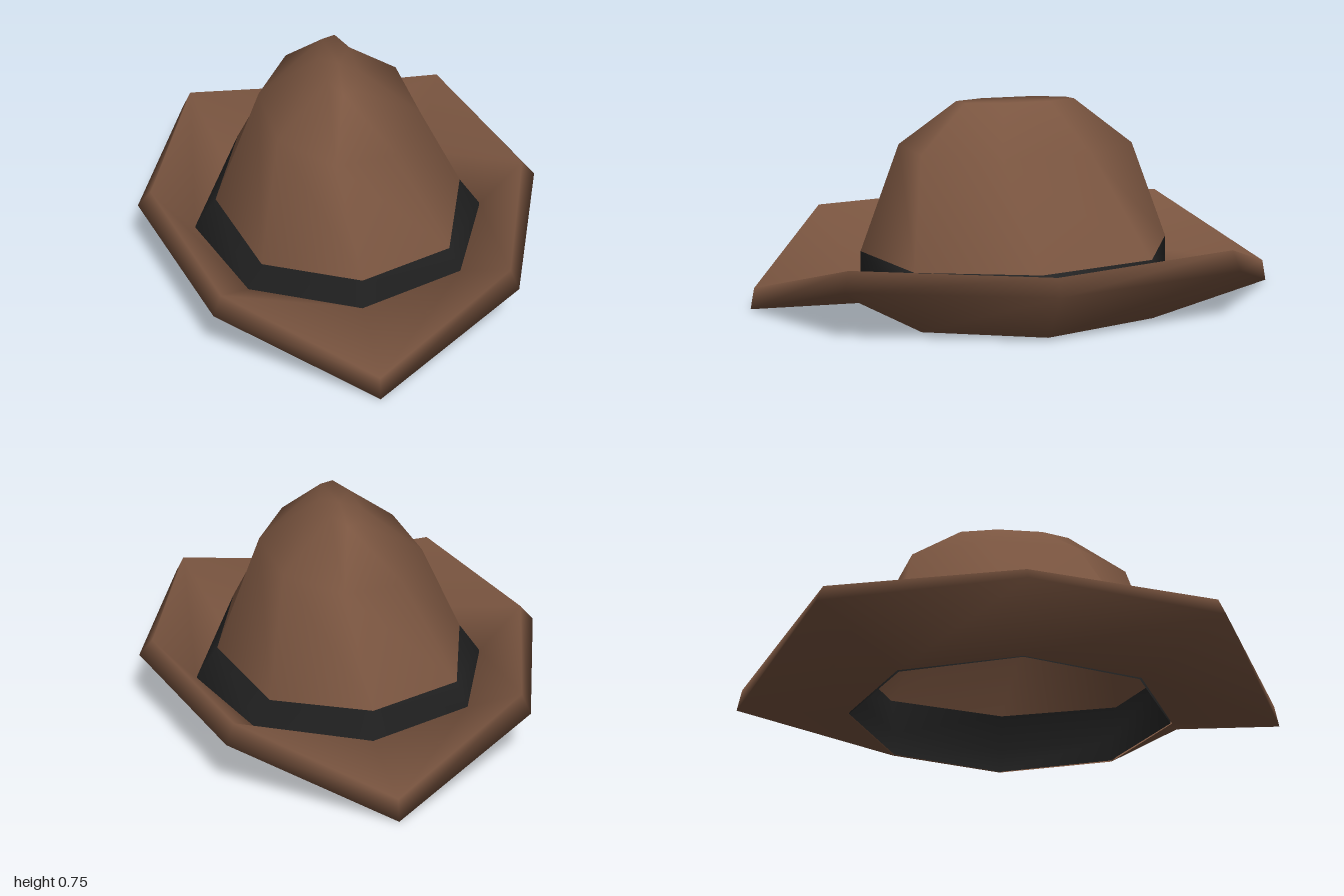
import * as THREE from 'three';

// Eight-sided ring: [x, y] at the sides, [x, y, z] at the corners, [y, z] at the front and back
function ring([sx, sy], [cx, cy, cz], [fy, fz]) {
  return [
    [sx, sy, 0], [cx, cy, cz], [0, fy, fz], [-cx, cy, cz],
    [-sx, sy, 0], [-cx, cy, -cz], [0, fy, -fz], [cx, cy, -cz],
  ];
}

// Level octagon with radii rx and rz, its corners shifted round by a small angle
function twistedRing(rx, rz, y, twist) {
  return Array.from({ length: 8 }, (_, i) => {
    const angle = i * Math.PI / 4 + twist;
    return [rx * Math.cos(angle), y, rz * Math.sin(angle)];
  });
}

// Smooth skin through a list of rings. A closed skin joins the last ring to the
// first, and its quads are split along the opposite diagonal.
function loft(rings, closed) {
  const n = 8, rows = rings.length, index = [];
  for (let j = 0; j < (closed ? rows : rows - 1); j++) {
    const low = j * n, high = ((j + 1) % rows) * n;
    for (let i = 0; i < n; i++) {
      const next = (i + 1) % n;
      const a = low + i, b = low + next, c = high + i, d = high + next;
      if (closed) index.push(a, c, b, b, c, d);
      else index.push(a, c, d, a, d, b);
    }
  }
  const geometry = new THREE.BufferGeometry();
  geometry.setAttribute('position', new THREE.Float32BufferAttribute(rings.flat(2), 3));
  geometry.setIndex(index);
  geometry.computeVertexNormals();
  return geometry;
}

export function createModel() {
  const felt = new THREE.MeshStandardMaterial({ color: 0x7a5540, side: THREE.DoubleSide });
  felt.name = 'brown felt';
  const ribbon = new THREE.MeshStandardMaterial({ color: 0x242424, side: THREE.DoubleSide });
  ribbon.name = 'black ribbon';

  const group = new THREE.Group();
  group.name = 'hat';
  const add = (name, material, rings, closed = false) => {
    const mesh = new THREE.Mesh(loft(rings, closed), material);
    mesh.name = name;
    group.add(mesh);
  };

  // Thick brim, curled up at the sides and dipping at front and back
  add('brim', felt, [
    ring([0.568, 0], [0.412, 0, 0.425], [0, 0.598]),
    ring([0.763, 0.2], [0.54, 0.195, 0.71], [0, 1]),
    ring([0.712, 0.257], [0.51, 0.266, 0.69], [0.08, 0.985]),
    ring([0.553, 0.08], [0.392, 0.08, 0.42], [0.08, 0.592]),
  ], true);

  // Band around the foot of the crown, also seen inside the opening
  const crownFoot = ring([0.47, 0.2], [0.343, 0.2, 0.438], [0.2, 0.588]);
  add('band', ribbon, [
    ring([0.56, 0], [0.4, 0, 0.42], [0, 0.592]),
    ring([0.551, 0.085], [0.391, 0.085, 0.419], [0.085, 0.59]),
    crownFoot,
  ]);

  // Hollow crown, twisting slightly as it narrows to a long, flat ridge
  const twist = 0.245;
  add('crown', felt, [
    crownFoot,
    twistedRing(0.295, 0.443, 0.585, twist),
    twistedRing(0.067, 0.227, 0.75, twist),
    twistedRing(0, 0, 0.747, twist),
  ]);

  return group;
}
